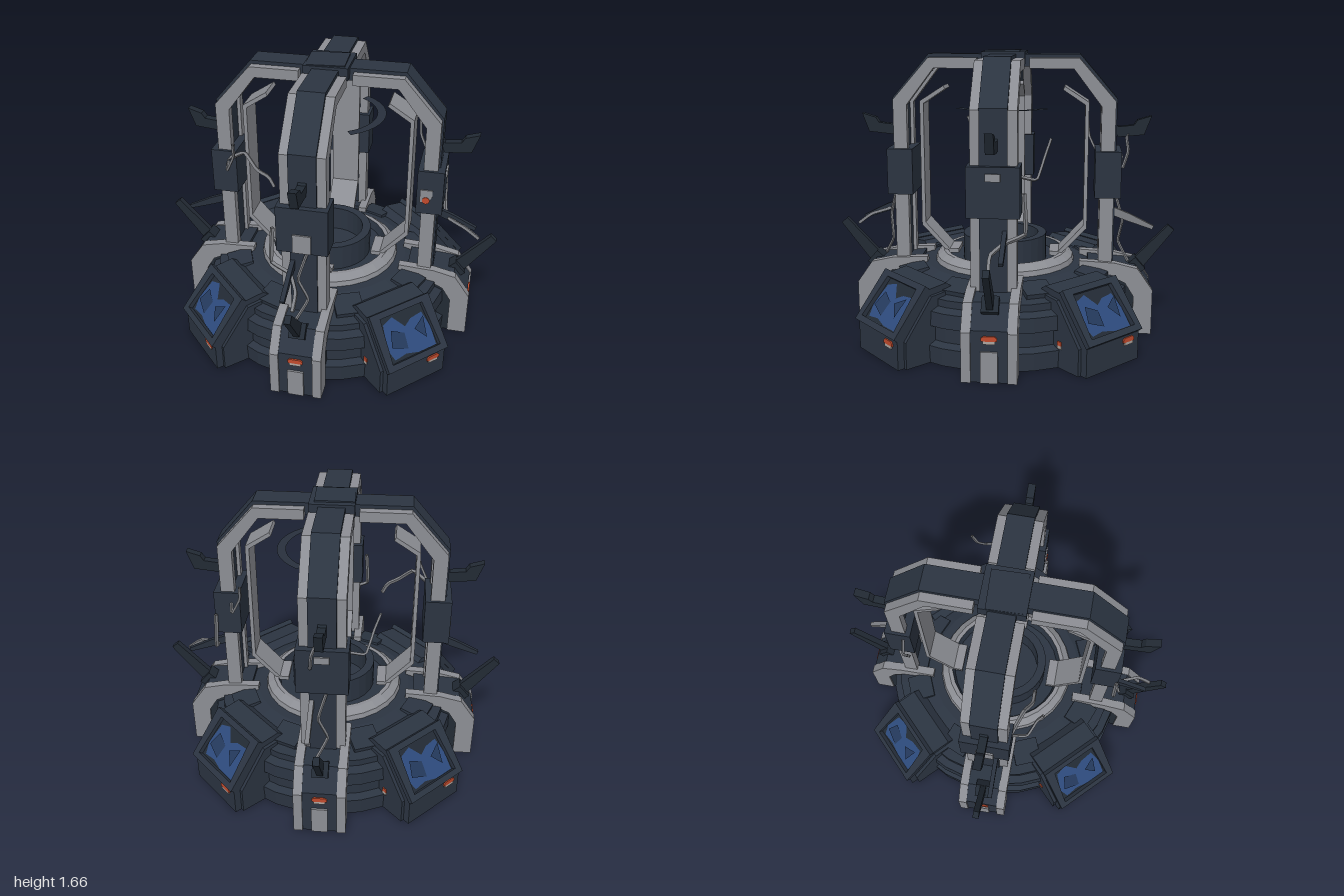
import * as THREE from 'three';

const mat = (name, color, extra = {}) =>
  Object.assign(new THREE.MeshStandardMaterial({ color, flatShading: true, ...extra }), { name });

export function createModel() {
  const model = new THREE.Group();
  model.name = 'ruinedPedestal';
  const navy = mat('dark navy metal', 0x2b3441);
  const deep = mat('deep shadow metal', 0x222a34);
  const sheet = mat('torn dark sheet', 0x28303c, { side: THREE.DoubleSide });
  const grey = mat('grey metal', 0x8c8e94);
  const cable = mat('cable grey', 0x7e8085, { side: THREE.DoubleSide });
  const blue = mat('blue glass', 0x2d4a7c, { side: THREE.DoubleSide });
  const dimBlue = mat('dim blue glass', 0x24395c, { side: THREE.DoubleSide });
  const red = mat('red lamp', 0xc04a2c);
  const pale = mat('pale lamp', 0xaca49f);

  const add = (parent, name, geo, material, pos = [0, 0, 0], rot = [0, 0, 0]) => {
    const m = new THREE.Mesh(geo, material);
    m.name = name;
    m.position.set(...pos);
    m.rotation.set(...rot);
    parent.add(m);
    return m;
  };
  const box = (parent, name, size, material, pos, rot) =>
    add(parent, name, new THREE.BoxGeometry(...size), material, pos, rot);
  const shapeOf = pts => new THREE.Shape(pts.map(p => new THREE.Vector2(...p)));
  // radial profile (r, y) extruded to a slab of width w centred on z
  const slab = (parent, name, pts, w, material, z = 0) =>
    add(parent, name, new THREE.ExtrudeGeometry(shapeOf(pts), { depth: w, bevelEnabled: false }),
      material, [0, 0, z - w / 2]);
  const tube = (parent, name, pts, r = 0.009) => {
    const path = new THREE.CatmullRomCurve3(pts.map(p => new THREE.Vector3(...p)), false, 'catmullrom', 0.15);
    add(parent, name, new THREE.TubeGeometry(path, 16, r, 4), cable);
  };
  const lathe = (name, pts, material) =>
    add(model, name, new THREE.LatheGeometry(pts.map(p => new THREE.Vector2(...p)), 28), material);
  // lamp facing +x: chamfered red hood over a pale strip
  const hood = shapeOf([[-0.042, 0], [0.042, 0], [0.042, 0.014], [0.03, 0.026], [-0.03, 0.026], [-0.042, 0.014]]);
  const lamp = (parent, x, y, z) => {
    add(parent, 'lampRed', new THREE.ExtrudeGeometry(hood, { depth: 0.012, bevelEnabled: false }), red,
      [x - 0.006, y - 0.003, z], [0, Math.PI / 2, 0]);
    box(parent, 'lampPale', [0.012, 0.016, 0.064], pale, [x, y - 0.011, z]);
  };

  // stepped base, sloped ring and hollow collar
  lathe('base', [[0, 0], [0.745, 0], [0.75, 0.1], [0.71, 0.12], [0.71, 0.2], [0.74, 0.21],
    [0.735, 0.29], [0.69, 0.31], [0.69, 0.35], [0.58, 0.37], [0.47, 0.41], [0, 0.41]], navy);
  lathe('ring', [[0.42, 0.4], [0.41, 0.44], [0.37, 0.47], [0.345, 0.47]], grey);
  lathe('ringInside', [[0.345, 0.47], [0.33, 0.42], [0.25, 0.415]], navy);
  lathe('collar', [[0.25, 0.4], [0.25, 0.57], [0.2, 0.57], [0.2, 0.42], [0, 0.42]], navy);
  for (let i = 0; i < 8; i++) {
    const a = (i + 0.5) * Math.PI / 4 + 0.16;
    box(model, 'deckPlate', [0.15, 0.03, 0.16], navy,
      [0.56 * Math.cos(a), 0.385, -0.56 * Math.sin(a)], [0, a, -0.2]);
  }

  const column = [[0.64, 0.4], [0.64, 1.37], [0.43, 1.61], [0.15, 1.61], [0.15, 1.55], [0.4, 1.55], [0.56, 1.34], [0.56, 0.4]];
  const spine = [[0.65, 0.4], [0.65, 1.38], [0.435, 1.63], [0.1, 1.63], [0.1, 1.56], [0.41, 1.56], [0.58, 1.36], [0.58, 0.4]];
  const footRail = [[0.88, 0], [0.88, 0.27], [0.79, 0.4], [0.66, 0.43], [0.45, 0.44], [0.45, 0.36], [0.64, 0.35], [0.72, 0.31], [0.77, 0.23], [0.77, 0]];
  const footCore = [[0.87, 0], [0.87, 0.28], [0.78, 0.4], [0.5, 0.42], [0.5, 0]];
  const footBack = [[0.78, 0], [0.78, 0.24], [0.72, 0.33], [0.5, 0.38], [0.5, 0]];
  const rib = [[0.27, 0.45], [0.33, 0.45], [0.49, 0.62], [0.49, 1.36], [0.35, 1.45], [0.34, 1.43], [0.468, 1.345], [0.468, 0.635], [0.325, 0.475], [0.27, 0.475]];
  const claw = [[0.62, 1.26], [0.66, 1.215], [0.75, 1.225], [0.77, 1.255], [0.85, 1.28], [0.81, 1.17], [0.66, 1.155]];
  const spike = [[0.75, 0.4], [0.97, 0.635], [1.005, 0.605], [0.82, 0.36]];
  const shard = [[0.64, 0.75], [0.74, 0.71], [0.88, 0.64], [0.87, 0.62], [0.72, 0.67], [0.64, 0.7]];

  // four curved arms: 0 left side, 1 back, 2 right side, 3 front
  for (let k = 0; k < 4; k++) {
    const arm = new THREE.Group();
    arm.name = 'arm';
    arm.rotation.y = 0.15 + k * Math.PI / 2;
    model.add(arm);
    for (const s of [-1, 1]) {
      slab(arm, 'columnRail', column, 0.05, grey, s * 0.098);
      slab(arm, 'footRail', footRail, 0.05, grey, s * 0.12);
    }
    slab(arm, 'spine', spine, 0.148, navy);
    slab(arm, 'footCore', footCore, 0.19, navy);
    slab(arm, 'footBack', footBack, 0.27, deep);
    slab(arm, 'innerRib', rib, 0.17, grey);
    box(arm, 'clamp', [0.15, 0.27, 0.28], navy, [0.605, 0.95, 0]);
    box(arm, 'footPlate', [0.014, 0.17, 0.09], grey, [0.874, 0.085, 0]);
    lamp(arm, 0.873, 0.23, 0);
    box(arm, 'spikeBracket', [0.09, 0.06, 0.09], deep, [0.79, 0.385, 0], [0, 0, -0.85]);
    slab(arm, 'spike', spike, 0.035, deep);
    slab(arm, 'claw', claw, 0.045, deep);
    slab(arm, 'tornStrip', shard, 0.025, k === 1 ? cable : sheet, k % 2 ? 0.06 : -0.06);

    // clamp details
    if (k > 1) box(arm, 'clampPlate', [0.012, 0.11, 0.1], grey, [0.684, 0.875, 0]);
    else box(arm, 'clampBadge', [0.012, 0.04, 0.08], grey, [0.684, 1.03, 0]);
    if (k === 0) {
      add(arm, 'clampSidePlate', new THREE.ExtrudeGeometry(shapeOf([[0.55, 0.89], [0.6, 0.89], [0.62, 0.93], [0.62, 0.97], [0.55, 0.97]]),
        { depth: 0.008, bevelEnabled: false }), grey, [0, 0, 0.139]);
      add(arm, 'clampLamp', new THREE.CylinderGeometry(0.022, 0.022, 0.01, 8), red, [0.585, 0.905, 0.146], [Math.PI / 2, 0, 0]);
    }

    // torn cables
    if (k === 0 || k === 3) {
      const s = k ? 1 : -1;
      tube(arm, 'outerCable', [[0.67, 0.95, s * 0.16], [0.68, 0.74, s * 0.17], [0.7, 0.69, s * 0.06], [0.82, 0.66, 0], [0.9, 0.6, 0]], 0.012);
    }
    if (k === 1 || k === 3)
      tube(arm, 'footCable', [[0.66, 0.8, -0.02], [0.7, 0.66, 0.02], [0.68, 0.52, -0.03], [0.74, 0.41, 0.03]]);
    if (k === 1)
      tube(arm, 'upperCable', [[0.69, 0.98, 0.06], [0.72, 1.08, 0.05], [0.71, 1.16, 0.02], [0.76, 1.21, 0]]);
    if (k === 2)
      tube(arm, 'sideCable', [[0.58, 1.03, -0.13], [0.46, 1.11, -0.18], [0.38, 1.03, -0.22], [0.31, 0.99, -0.22], [0.28, 0.93, -0.22]], 0.012);
    if (k !== 3)
      tube(arm, 'hangingCable', [[0.58, 1.02, -0.13], [0.56, 1.0, -0.22], [0.5, 1.12, -0.26], [0.49, 1.21, -0.29]]);
  }

  // broken crown plates
  const crown = new THREE.Group();
  crown.name = 'crown';
  crown.rotation.y = 0.15;
  model.add(crown);
  box(crown, 'crownPlate', [0.25, 0.07, 0.25], navy, [0, 1.61, 0]);
  box(crown, 'crownFlap', [0.22, 0.016, 0.2], navy, [-0.01, 1.643, 0.01], [0.02, 0.04, 0.02]);
  add(crown, 'tornCrescent', new THREE.RingGeometry(0.27, 0.32, 12, 1, -1, 2), sheet, [0, 1.33, 0], [-Math.PI / 2, 0, 0]);

  // four consoles with shattered slanted screens
  const body = [[0.9, 0], [0.9, 0.16], [0.7, 0.405], [0.58, 0.42], [0.5, 0.36], [0.5, 0]];
  const cheek = [[0.86, 0], [0.86, 0.15], [0.69, 0.37], [0.6, 0.38], [0.6, 0]];
  const dir = new THREE.Vector3(-0.632, 0.775, 0), side = new THREE.Vector3(0, 0, 1), out = new THREE.Vector3(0.775, 0.632, 0);
  for (let k = 0; k < 4; k++) {
    const con = new THREE.Group();
    con.name = 'console';
    con.rotation.y = 0.15 - Math.PI / 4 + k * Math.PI / 2;
    model.add(con);
    slab(con, 'consoleBody', body, 0.4, navy);
    for (const s of [-1, 1]) slab(con, 'consoleCheek', cheek, 0.03, navy, s * 0.205);
    box(con, 'sideLampRed', [0.03, 0.022, 0.008], red, [0.72, 0.14, 0.222]);
    box(con, 'sideLampPale', [0.03, 0.018, 0.008], pale, [0.72, 0.12, 0.222]);
    const panel = new THREE.Group();
    panel.name = 'screenPanel';
    panel.quaternion.setFromRotationMatrix(new THREE.Matrix4().makeBasis(dir, side, out));
    panel.position.set(0.9, 0.16, 0);
    con.add(panel);
    const frame = shapeOf([[0, -0.205], [0.325, -0.205], [0.325, 0.205], [0, 0.205]]);
    frame.holes.push(new THREE.Path([[0.035, -0.165], [0.035, 0.165], [0.29, 0.145], [0.29, -0.145]].map(p => new THREE.Vector2(...p))));
    add(panel, 'screenFrame', new THREE.ExtrudeGeometry(frame, { depth: 0.03, bevelEnabled: false }), navy);
    box(panel, 'screenBed', [0.25, 0.32, 0.004], deep, [0.162, 0, 0.002]);
    add(panel, 'glass', new THREE.ShapeGeometry(shapeOf([[0.04, -0.15], [0.15, -0.155], [0.24, -0.13], [0.23, -0.05],
      [0.2, 0], [0.275, 0.06], [0.25, 0.13], [0.12, 0.155], [0.05, 0.13], [0.06, 0.05], [0.04, -0.03]])), blue, [0, 0, 0.008]);
    add(panel, 'glassShard', new THREE.ShapeGeometry(shapeOf([[0.08, 0.03], [0.17, 0.02], [0.21, 0.1], [0.12, 0.13]])),
      dimBlue, [0, 0, 0.012], [0.06, 0, 0]);
    add(panel, 'glassShard', new THREE.ShapeGeometry(shapeOf([[0.1, -0.1], [0.22, -0.12], [0.17, -0.04]])),
      dimBlue, [0, 0, 0.02], [0, -0.05, 0]);
    lamp(con, 0.902, 0.125, -0.115);
  }
  return model;
}
